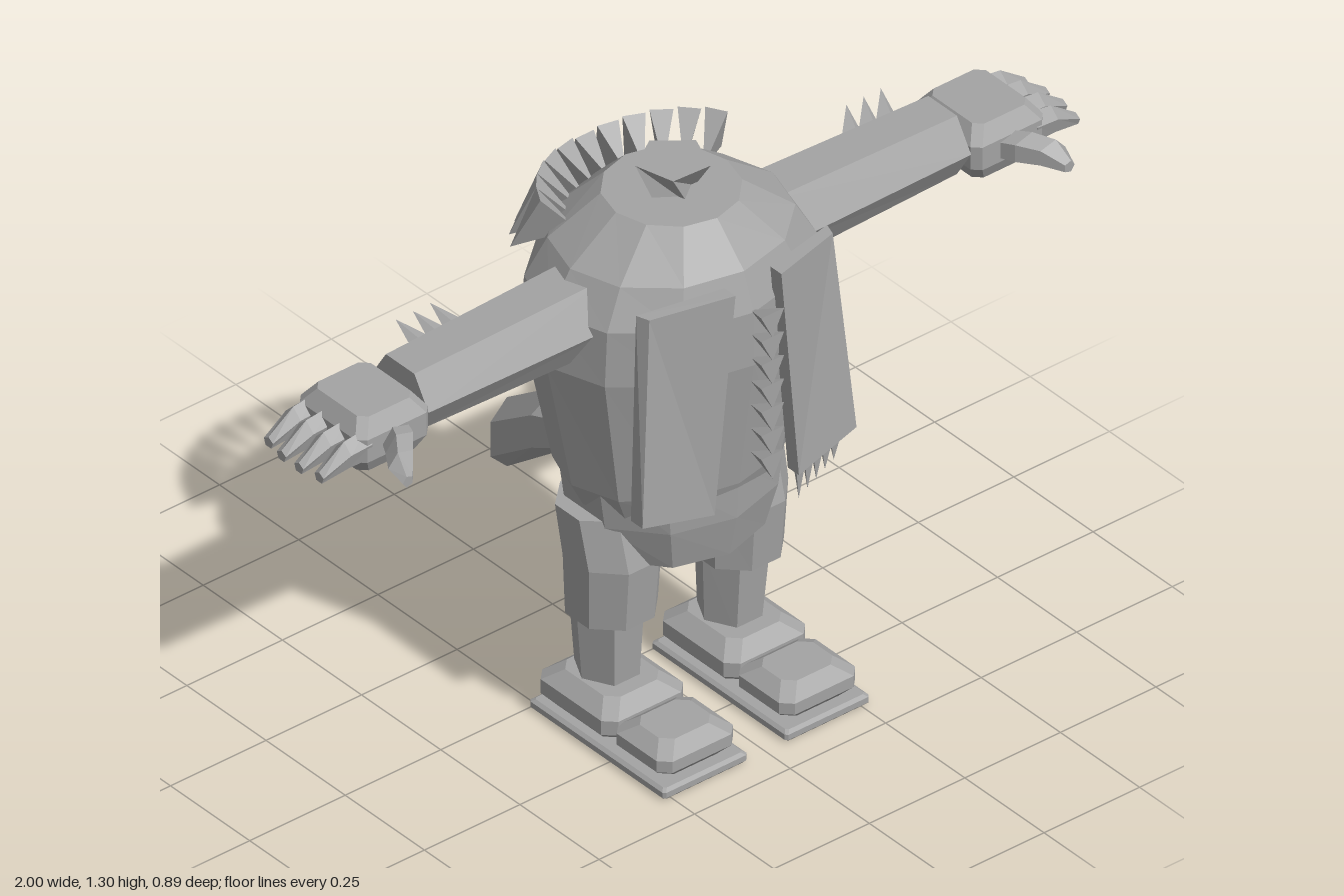
import * as THREE from 'three';

const grey = new THREE.MeshStandardMaterial({ color: 0xa3a3a3 });
grey.name = 'plain grey';

// Flat-shaded closed solid through rings of [x, y, z] corners, turned outward by its signed volume
function loft(rings) {
  const tris = [], n = rings[0].length, last = rings.length - 1;
  for (let i = 0; i < last; i++) {
    for (let j = 0; j < n; j++) {
      const k = (j + 1) % n;
      const a = rings[i][j], b = rings[i][k], c = rings[i + 1][k], d = rings[i + 1][j];
      tris.push([a, b, c], [a, c, d]);
    }
  }
  for (let j = 1; j < n - 1; j++) {
    tris.push([rings[0][0], rings[0][j + 1], rings[0][j]]);
    tris.push([rings[last][0], rings[last][j], rings[last][j + 1]]);
  }
  const o = new THREE.Vector3(...rings[0][0]);
  const v = (p) => new THREE.Vector3(...p).sub(o);
  let volume = 0;
  for (const [a, b, c] of tris) volume += v(a).dot(v(b).cross(v(c)));
  if (volume < 0) tris.forEach((t) => t.reverse());
  const geometry = new THREE.BufferGeometry();
  geometry.setAttribute('position', new THREE.Float32BufferAttribute(tris.flat(2), 3));
  geometry.computeVertexNormals();
  return geometry;
}

// Elliptical rings across one axis; each section is [x, y, z, radius 1, radius 2, extra twist]
function sections(axis, sides, list, turn = 0) {
  return list.map(([x, y, z, r1, r2, twist = 0]) => Array.from({ length: sides }, (_, i) => {
    const a = (i / sides) * Math.PI * 2 + turn + twist;
    const p = r1 * Math.cos(a), q = r2 * Math.sin(a);
    if (axis === 'x') return [x, y + p, z + q];
    if (axis === 'y') return [x + p, y, z + q];
    return [x + p, y + q, z];
  }));
}

// Box with cut corners and bevelled top and bottom
function bevelBlock(x0, x1, y0, y1, z0, z1, bevel, inset) {
  const ring = (y, s) => {
    const a = x0 + s, b = x1 - s, c = z0 + s, d = z1 - s, k = inset * 0.7;
    return [[a + k, y, c], [b - k, y, c], [b, y, c + k], [b, y, d - k],
      [b - k, y, d], [a + k, y, d], [a, y, d - k], [a, y, c + k]];
  };
  return [ring(y0, inset * 0.7), ring(y0 + bevel, 0), ring(y1 - bevel, 0), ring(y1, inset)];
}

// Three-sided spike: a triangle of corners running to a point
const spike = (a, b, c, tip) => [[a, b, c], [tip, tip, tip]];

export function createModel() {
  const model = new THREE.Group();
  model.name = 'figure';
  const add = (name, rings) => {
    const mesh = new THREE.Mesh(loft(rings), grey);
    mesh.name = name;
    model.add(mesh);
  };
  const addPair = (name, rings) => {
    add(name + 'Left', rings);
    add(name + 'Right', rings.map((r) => r.map(([x, y, z]) => [-x, y, z])));
  };

  // Body, hips and twisted neck stump
  add('torso', sections('y', 12, [
    [0, 0.56, 0.13, 0.235, 0.19], [0, 0.62, 0.13, 0.265, 0.21], [0, 0.935, 0.123, 0.325, 0.263],
    [0, 1.065, 0.123, 0.318, 0.263], [0, 1.15, 0.125, 0.265, 0.23], [0, 1.235, 0.125, 0.145, 0.145]]));
  add('hips', sections('y', 10, [
    [0, 0.43, 0.125, 0.205, 0.185], [0, 0.53, 0.127, 0.24, 0.205], [0, 0.66, 0.13, 0.262, 0.208]], Math.PI / 10));
  add('neck', sections('y', 5, [
    [0, 1.22, 0.12, 0.055, 0.055], [0, 1.305, 0.13, 0.08, 0.08, 0.7]], 0.3));

  // Tail, drooping behind
  add('tail', sections('z', 6, [
    [0, 0.555, 0.03, 0.08, 0.05], [0, 0.545, -0.07, 0.085, 0.055], [0, 0.463, -0.24, 0.075, 0.08],
    [0.005, 0.345, -0.4, 0.05, 0.085], [0.035, 0.25, -0.443, 0.015, 0.012]], Math.PI / 6));

  // Arms and hands
  addPair('arm', sections('x', 6, [
    [0.22, 1.045, 0.125, 0.098, 0.1], [0.71, 1.043, 0.125, 0.083, 0.09]], Math.PI / 6));
  addPair('hand', bevelBlock(0.71, 0.9, 0.97, 1.095, 0.02, 0.23, 0.035, 0.025));
  [0.047, 0.1, 0.155, 0.207].forEach((z, i) => {
    const reach = i === 0 || i === 3 ? -0.01 : 0;
    addPair('finger' + (i + 1), sections('x', 5, [
      [0.87, 1.035, z, 0.036, 0.026], [0.935 + reach, 1.032, z, 0.032, 0.025],
      [1.0 + reach, 1.005, z, 0.013, 0.015]]));
  });
  addPair('thumb', sections('z', 5, [
    [0.79, 1.03, 0.2, 0.035, 0.03], [0.82, 1.035, 0.26, 0.04, 0.035],
    [0.85, 1.03, 0.3, 0.036, 0.03], [0.865, 1.01, 0.338, 0.014, 0.014]]));

  // Row of small spikes on each forearm
  for (let i = 0; i < 3; i++) {
    const x = 0.5 + i * 0.045;
    addPair('armSpike' + (i + 1), spike(
      [x, 1.1, 0.06], [x + 0.045, 1.1, 0.06], [x + 0.022, 1.1, 0.09], [x + 0.045, 1.135, 0.02]));
  }

  // Legs
  addPair('thigh', sections('y', 8, [
    [0.165, 0.285, 0.135, 0.098, 0.098], [0.165, 0.43, 0.138, 0.104, 0.108],
    [0.165, 0.545, 0.115, 0.108, 0.1]], Math.PI / 8));
  addPair('shin', sections('y', 6, [
    [0.16, 0.1, 0.115, 0.065, 0.072], [0.165, 0.3, 0.118, 0.078, 0.085]]));

  // Shoes
  addPair('heel', bevelBlock(0.053, 0.267, 0.03, 0.12, 0.01, 0.25, 0.028, 0.035));
  addPair('toe', bevelBlock(0.06, 0.26, 0.028, 0.105, 0.243, 0.415, 0.025, 0.033));
  addPair('sole', bevelBlock(0.05, 0.27, 0.004, 0.029, 0, 0.428, 0.006, 0.008));

  // Slanted chest panels
  addPair('chestPanel', [
    [[0.11, 0.62, 0.395], [0.28, 0.65, 0.372], [0.28, 0.65, 0.335], [0.11, 0.62, 0.36]],
    [[0.06, 1.14, 0.4], [0.24, 1.13, 0.345], [0.25, 1.13, 0.315], [0.06, 1.14, 0.365]]]);

  // Fringe below the left panel
  for (let i = 0; i < 5; i++) {
    const x = 0.11 + i * 0.027, z = 0.385 - i * 0.005;
    add('fringe' + (i + 1), spike(
      [x, 0.645, z], [x + 0.028, 0.645, z], [x + 0.014, 0.645, z - 0.03],
      [x + 0.012, 0.55 + i * 0.009, z - 0.005]));
  }

  // Column of teeth down the chest, wide end forward
  for (let i = 0; i < 7; i++) {
    const y = 1.095 - i * 0.058;
    add('chestSpike' + (i + 1), spike(
      [-0.03, y, 0.445], [0.03, y, 0.445], [0, y - 0.06, 0.445], [0, y - 0.03, 0.375]));
  }

  // Collar of spikes around the back of the shoulders
  const count = 11;
  for (let i = 0; i < count; i++) {
    const t = (i / (count - 1)) * 2 - 1;
    const at = (angle, r, y) => [Math.sin(angle) * r, y, 0.12 - Math.cos(angle) * r];
    const a = t * 1.05, w = 0.09, top = 1.215 + 0.03 * Math.abs(t);
    add('collarSpike' + (i + 1), spike(
      at(a - w, 0.27, top), at(a + w, 0.27, top),
      at(a * 0.97, 0.325, 1.07 + 0.045 * t * t), at(a, 0.19, 1.15)));
  }
  return model;
}
